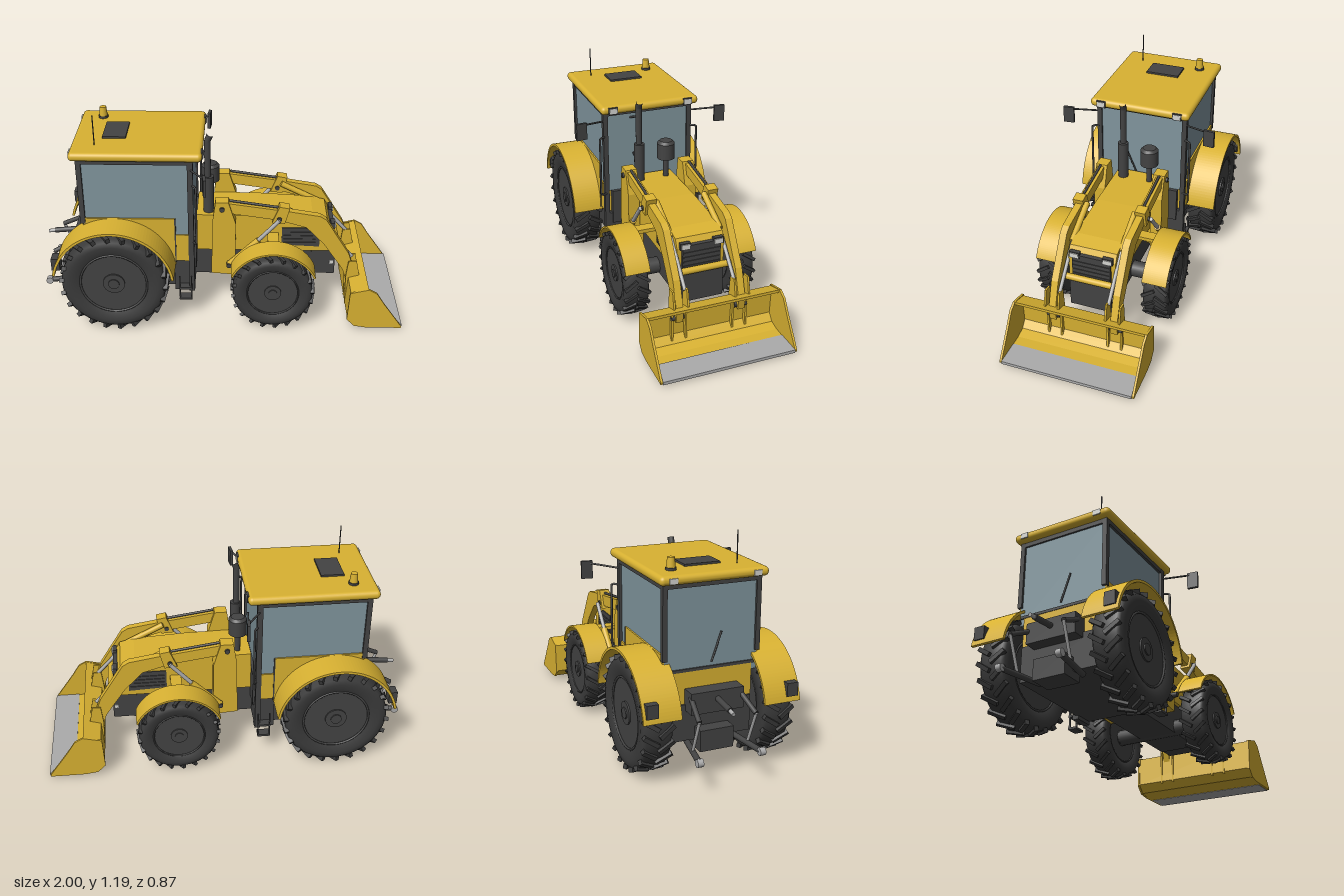
import * as THREE from 'three';
import { mergeGeometries } from 'three/addons/utils/BufferGeometryUtils.js';
import { RoundedBoxGeometry } from 'three/addons/geometries/RoundedBoxGeometry.js';

const material = (name, color, side = THREE.FrontSide) => {
  const m = new THREE.MeshStandardMaterial({ color, side });
  m.name = name;
  return m;
};

export function createModel() {
  const model = new THREE.Group();
  model.name = 'loaderTractor';
  const yellow = material('yellow paint', 0xd9b232);
  const dark = material('dark plastic', 0x434343);
  const rubber = material('tyre rubber', 0x3b3b3b);
  const glass = material('window glass', 0x80959d);
  const steel = material('bare steel', 0xababab);
  const lampWhite = material('lamp lens', 0xd6d6d2);

  // ---- helpers ----
  const add = (name, geo, mat, parent = model) => {
    const mesh = new THREE.Mesh(geo, mat);
    mesh.name = name;
    parent.add(mesh);
    return mesh;
  };
  const box = (name, mat, x0, x1, y0, y1, z0, z1) => add(name,
    new THREE.BoxGeometry(x1 - x0, y1 - y0, z1 - z0)
      .translate((x0 + x1) / 2, (y0 + y1) / 2, (z0 + z1) / 2), mat);
  const boxPair = (name, mat, x0, x1, y0, y1, z0, z1) => {
    box(name + 'Left', mat, x0, x1, y0, y1, -z1, -z0);
    box(name + 'Right', mat, x0, x1, y0, y1, z0, z1);
  };
  const extrude = (name, mat, shape, z0, z1) => add(name,
    new THREE.ExtrudeGeometry(shape, { depth: z1 - z0, bevelEnabled: false, curveSegments: 28 })
      .translate(0, 0, z0), mat);
  const poly = pts => new THREE.Shape(pts.map(p => new THREE.Vector2(...p)));
  const extrudePair = (name, mat, shape, z0, z1) => {
    extrude(name + 'Left', mat, shape, -z1, -z0);
    extrude(name + 'Right', mat, shape, z0, z1);
  };
  const rod = (name, mat, a, b, r, r2 = r, sides = 16) => {
    const p = new THREE.Vector3(...a), q = new THREE.Vector3(...b);
    const m = add(name, new THREE.CylinderGeometry(r2, r, p.distanceTo(q), sides), mat);
    m.position.copy(p).lerp(q, 0.5);
    m.quaternion.setFromUnitVectors(new THREE.Vector3(0, 1, 0), q.sub(p).normalize());
    return m;
  };
  const rodPair = (name, mat, a, b, r) => [-1, 1].forEach(s =>
    rod(name, mat, [a[0], a[1], a[2] * s], [b[0], b[1], b[2] * s], r));
  const tube = (name, mat, pts, r) => add(name, new THREE.TubeGeometry(
    new THREE.CatmullRomCurve3(pts.map(p => new THREE.Vector3(...p)), false, 'catmullrom', 0.1),
    32, r, 10), mat);

  // ---- wheels: lathed tyre, chevron lugs, dished rim ----
  const wheel = (name, R, w, x, z, lugs) => {
    const g = new THREE.Group();
    g.name = name;
    g.position.set(x, R, z);
    const h = w / 2;
    const profile = [[0.61, -0.72], [0.64, -0.88], [0.8, -0.98], [0.9, -0.93], [0.95, -0.75], [0.96, 0],
      [0.95, 0.75], [0.9, 0.93], [0.8, 0.98], [0.64, 0.88], [0.61, 0.72]]
      .map(([r, y]) => new THREE.Vector2(r * R, y * h));
    add('tyre', new THREE.LatheGeometry(profile, 48).rotateX(Math.PI / 2), rubber, g);
    const bars = [];
    for (let i = 0; i < lugs; i++) for (const s of [-1, 1]) {
      bars.push(new THREE.BoxGeometry(0.075 * R, 0.085 * R, h * 1.15)
        .rotateY(s * 0.6).rotateX(s * 0.1).translate(0, R * 0.955, s * h * 0.5)
        .rotateZ((i + (s > 0 ? 0.5 : 0)) / lugs * Math.PI * 2));
    }
    add('treadLugs', mergeGeometries(bars), rubber, g);
    const disc = (n, r, width) => add(n,
      new THREE.CylinderGeometry(r, r, width, 40).rotateX(Math.PI / 2), dark, g);
    disc('rim', R * 0.62, w * 0.72);
    disc('hub', R * 0.2, w * 0.82);
    disc('hubCap', R * 0.1, w * 0.9);
    for (const s of [-1, 1]) add('rimRing',
      new THREE.TorusGeometry(R * 0.61, R * 0.02, 8, 40).translate(0, 0, s * h * 0.8), dark, g);
    model.add(g);
  };
  for (const s of [-1, 1]) {
    wheel('rearWheel', 0.296, 0.16, -0.58, s * 0.32, 22);
    wheel('frontWheel', 0.228, 0.14, 0.28, s * 0.302, 20);
  }

  // ---- fenders ----
  const arch = (x, y, R, t, a0, a1) => {
    const s = new THREE.Shape();
    s.absarc(x, y, R, a0, a1, false);
    s.absarc(x, y, R - t, a1, a0, true);
    return s;
  };
  extrudePair('rearFender', yellow, arch(-0.58, 0.3, 0.33, 0.014, 0.13, 2.95), 0.22, 0.415);
  extrudePair('frontFender', yellow, arch(0.28, 0.235, 0.25, 0.01, 0.42, 2.72), 0.235, 0.37);
  boxPair('frontFenderBracket', yellow, 0.25, 0.31, 0.455, 0.475, 0.12, 0.25);
  boxPair('tailLamp', dark, -0.905, -0.86, 0.39, 0.46, 0.34, 0.4);

  // ---- chassis ----
  box('cabFloor', dark, -0.76, -0.15, 0.18, 0.37, -0.215, 0.215);
  box('chassis', dark, -0.15, 0.52, 0.19, 0.37, -0.11, 0.11);
  box('frontWeight', dark, 0.5, 0.635, 0.2, 0.36, -0.115, 0.115);
  boxPair('towEye', lampWhite, 0.605, 0.625, 0.265, 0.285, 0.113, 0.118);
  rod('rearAxle', dark, [-0.58, 0.296, -0.3], [-0.58, 0.296, 0.3], 0.06);
  rod('frontAxle', dark, [0.28, 0.228, -0.28], [0.28, 0.228, 0.28], 0.045);
  // steps below the doors
  boxPair('stepBlock', dark, -0.26, -0.15, 0.16, 0.36, 0.2, 0.235);
  for (const y of [0.12, 0.19]) boxPair('stepTread', dark, -0.235, -0.165, y, y + 0.012, 0.23, 0.28);
  for (const x of [-0.235, -0.17]) boxPair('stepHanger', dark, x, x + 0.006, 0.12, 0.27, 0.265, 0.275);

  // ---- cab ----
  box('cabGlass', glass, -0.745, -0.16, 0.5, 0.965, -0.247, 0.247);
  box('cabLowerBody', yellow, -0.75, -0.17, 0.37, 0.54, -0.22, 0.22);
  const sidePanel = new THREE.Shape();
  sidePanel.moveTo(-0.25, 0.345);
  sidePanel.lineTo(-0.25, 0.63);
  sidePanel.lineTo(-0.745, 0.63);
  sidePanel.absarc(-0.58, 0.3, 0.325, 2.09, 0.14, true);
  extrudePair('cabSidePanel', yellow, sidePanel, 0.215, 0.256);
  boxPair('doorLowerPanel', yellow, -0.25, -0.17, 0.365, 0.53, 0.215, 0.256);
  boxPair('frontPillar', dark, -0.18, -0.15, 0.17, 0.985, 0.235, 0.262);
  boxPair('rearPillar', dark, -0.757, -0.73, 0.6, 0.985, 0.235, 0.26);
  boxPair('doorSeam', dark, -0.254, -0.247, 0.36, 0.63, 0.25, 0.26);
  boxPair('sideTopRail', dark, -0.75, -0.15, 0.955, 0.985, 0.235, 0.26);
  box('frontTopRail', dark, -0.18, -0.152, 0.955, 0.985, -0.25, 0.25);
  box('rearTopRail', dark, -0.755, -0.72, 0.955, 0.985, -0.25, 0.25);
  box('rearWindowSill', dark, -0.753, -0.74, 0.535, 0.55, -0.24, 0.24);
  box('cabFrontWall', dark, -0.17, -0.14, 0.3, 0.5, -0.22, 0.22);
  rod('rearWiper', dark, [-0.752, 0.57, 0], [-0.752, 0.72, 0.05], 0.005);
  rod('frontWiper', dark, [-0.15, 0.58, 0.03], [-0.15, 0.72, 0.09], 0.005);
  add('roof', new RoundedBoxGeometry(0.69, 0.047, 0.57, 4, 0.022).translate(-0.445, 1.002, 0), yellow);
  box('roofHatch', dark, -0.635, -0.51, 1.02, 1.036, -0.095, 0.095);
  boxPair('frontRoofLampFrame', dark, -0.115, -0.097, 0.982, 1.02, 0.193, 0.245);
  boxPair('frontRoofLamp', lampWhite, -0.1, -0.094, 0.987, 1.015, 0.198, 0.24);
  boxPair('rearRoofLamp', lampWhite, -0.794, -0.788, 0.987, 1.015, 0.198, 0.24);
  rod('beaconBase', dark, [-0.665, 1.02, -0.18], [-0.665, 1.038, -0.18], 0.027);
  rod('beacon', yellow, [-0.665, 1.038, -0.18], [-0.665, 1.088, -0.18], 0.023, 0.018);
  rod('antenna', dark, [-0.665, 1.02, 0.17], [-0.665, 1.19, 0.17], 0.003);
  // mirrors and grab rails
  for (const s of [-1, 1]) {
    rod('mirrorArm', dark, [-0.165, 0.925, s * 0.25], [-0.09, 0.948, s * 0.39], 0.005);
    const m = add('mirror', new THREE.BoxGeometry(0.016, 0.094, 0.06), dark);
    m.position.set(-0.085, 0.914, s * 0.406);
    m.rotation.y = s * 0.12;
    tube('grabRail', dark, [[-0.155, 0.835, s * 0.255], [-0.135, 0.838, s * 0.285],
      [-0.135, 0.82, s * 0.288], [-0.135, 0.5, s * 0.288], [-0.155, 0.485, s * 0.25]], 0.006);
  }

  // ---- bonnet ----
  extrude('bonnet', yellow, poly([[-0.14, 0.36], [0.6, 0.36], [0.605, 0.5], [0.58, 0.545],
    [0.5, 0.565], [0.2, 0.582], [-0.14, 0.585]]), -0.13, 0.13);
  box('grille', dark, 0.59, 0.62, 0.34, 0.515, -0.105, 0.105);
  for (let i = 0; i < 5; i++)
    box('grilleSlat', dark, 0.618, 0.624, 0.37 + i * 0.025, 0.378 + i * 0.025, -0.1, 0.1);
  boxPair('headlampFrame', dark, 0.6, 0.622, 0.495, 0.532, 0.063, 0.118);
  boxPair('headlamp', lampWhite, 0.62, 0.627, 0.5, 0.526, 0.068, 0.113);
  extrudePair('bonnetVent', dark, poly([[0.33, 0.4], [0.54, 0.39], [0.54, 0.46], [0.46, 0.51], [0.33, 0.51]]), 0.125, 0.135);
  for (let i = 0; i < 4; i++)
    boxPair('ventSlat', dark, 0.34, 0.53 - i * 0.014, 0.41 + i * 0.022, 0.418 + i * 0.022, 0.134, 0.139);
  // exhaust and air intake
  rod('muffler', dark, [-0.075, 0.58, 0.08], [-0.075, 0.8, 0.08], 0.029);
  tube('exhaustPipe', dark, [[-0.08, 0.78, 0.08], [-0.08, 0.9, 0.08], [-0.08, 1.01, 0.08], [-0.066, 1.045, 0.08]], 0.018);
  rod('exhaustStay', dark, [-0.16, 0.93, 0.1], [-0.08, 0.96, 0.08], 0.006);
  rod('intakeStem', dark, [-0.07, 0.58, -0.077], [-0.07, 0.7, -0.077], 0.016);
  rod('intakeBowl', dark, [-0.07, 0.695, -0.077], [-0.07, 0.785, -0.077], 0.05, 0.05, 24);
  rod('intakeCap', dark, [-0.07, 0.785, -0.077], [-0.07, 0.8, -0.077], 0.05, 0.036, 24);

  // ---- loader frame and arms ----
  extrudePair('loaderTower', yellow, poly([[-0.06, 0.25], [0.075, 0.24], [0.075, 0.57], [0.035, 0.7], [-0.035, 0.7], [-0.05, 0.6]]), 0.135, 0.2);
  boxPair('towerBracket', yellow, -0.05, 0.06, 0.25, 0.35, 0.1, 0.14);
  extrudePair('loaderArm', yellow, poly([[-0.02, 0.685], [0.04, 0.69], [0.36, 0.645], [0.53, 0.617], [0.565, 0.595],
    [0.7, 0.38], [0.755, 0.22], [0.745, 0.16], [0.71, 0.17], [0.67, 0.28], [0.56, 0.44], [0.46, 0.545], [0.31, 0.59], [0.0, 0.635]]), 0.152, 0.19);
  extrudePair('armGusset', yellow, poly([[0.27, 0.58], [0.34, 0.575], [0.365, 0.67], [0.31, 0.68]]), 0.145, 0.203);
  rod('armCrossTube', yellow, [0.64, 0.383, -0.17], [0.64, 0.383, 0.17], 0.018);
  for (const [x, y, r] of [[0.0, 0.66, 0.014], [0.31, 0.605, 0.013], [0.725, 0.18, 0.014]])
    rodPair('pivotPin', dark, [x, y, 0.14], [x, y, 0.21], r);
  // lift and tilt cylinders
  rodPair('liftBarrel', yellow, [0.04, 0.32, 0.217], [0.2, 0.48, 0.217], 0.018);
  rodPair('liftRod', steel, [0.19, 0.47, 0.217], [0.31, 0.605, 0.217], 0.011);
  rodPair('liftPin', dark, [0.04, 0.32, 0.19], [0.04, 0.32, 0.237], 0.014);
  rodPair('tiltBarrel', yellow, [0.33, 0.64, 0.135], [0.54, 0.535, 0.135], 0.016);
  rodPair('tiltRod', steel, [0.53, 0.54, 0.135], [0.725, 0.33, 0.135], 0.01);
  rodPair('hydraulicPipe', dark, [0.04, 0.7, 0.171], [0.35, 0.655, 0.171], 0.007);
  for (const z of [0.125, 0.2])
    extrudePair('bucketBracket', yellow, poly([[0.695, 0.06], [0.735, 0.05], [0.735, 0.22], [0.765, 0.25], [0.745, 0.345], [0.7, 0.34], [0.69, 0.24]]), z, z + 0.01);

  // ---- bucket ----
  extrude('bucketShell', yellow, poly([[0.705, 0.235], [0.695, 0.07], [0.735, 0.025], [0.8, 0.012], [0.99, 0.012], [0.99, 0.02],
    [0.8, 0.024], [0.745, 0.037], [0.712, 0.075], [0.72, 0.228], [0.8, 0.248], [0.8, 0.264]]), -0.368, 0.368);
  extrudePair('bucketSide', yellow, poly([[0.7, 0.24], [0.692, 0.065], [0.735, 0.022], [0.8, 0.012], [0.995, 0.012],
    [0.995, 0.022], [0.89, 0.17], [0.845, 0.24], [0.8, 0.265]]), 0.358, 0.37);
  box('cuttingEdge', steel, 0.86, 1.0, 0.01, 0.027, -0.357, 0.357);

  // ---- rear three-point linkage ----
  box('hitchHousing', dark, -0.83, -0.74, 0.34, 0.45, -0.14, 0.14);
  box('drawbarBlock', dark, -0.83, -0.7, 0.14, 0.25, -0.09, 0.09);
  rodPair('lowerLink', dark, [-0.72, 0.17, 0.12], [-0.98, 0.165, 0.165], 0.015);
  rodPair('lowerLinkBall', steel, [-0.98, 0.165, 0.15], [-0.98, 0.165, 0.18], 0.02);
  rodPair('liftArm', dark, [-0.8, 0.42, 0.13], [-0.94, 0.35, 0.15], 0.013);
  rodPair('liftLink', steel, [-0.94, 0.35, 0.15], [-0.865, 0.165, 0.148], 0.008);
  rod('topLink', dark, [-0.8, 0.41, 0], [-0.96, 0.395, 0], 0.015);
  rod('topLinkEnd', steel, [-0.955, 0.395, 0], [-0.995, 0.39, 0], 0.01);
  return model;
}
